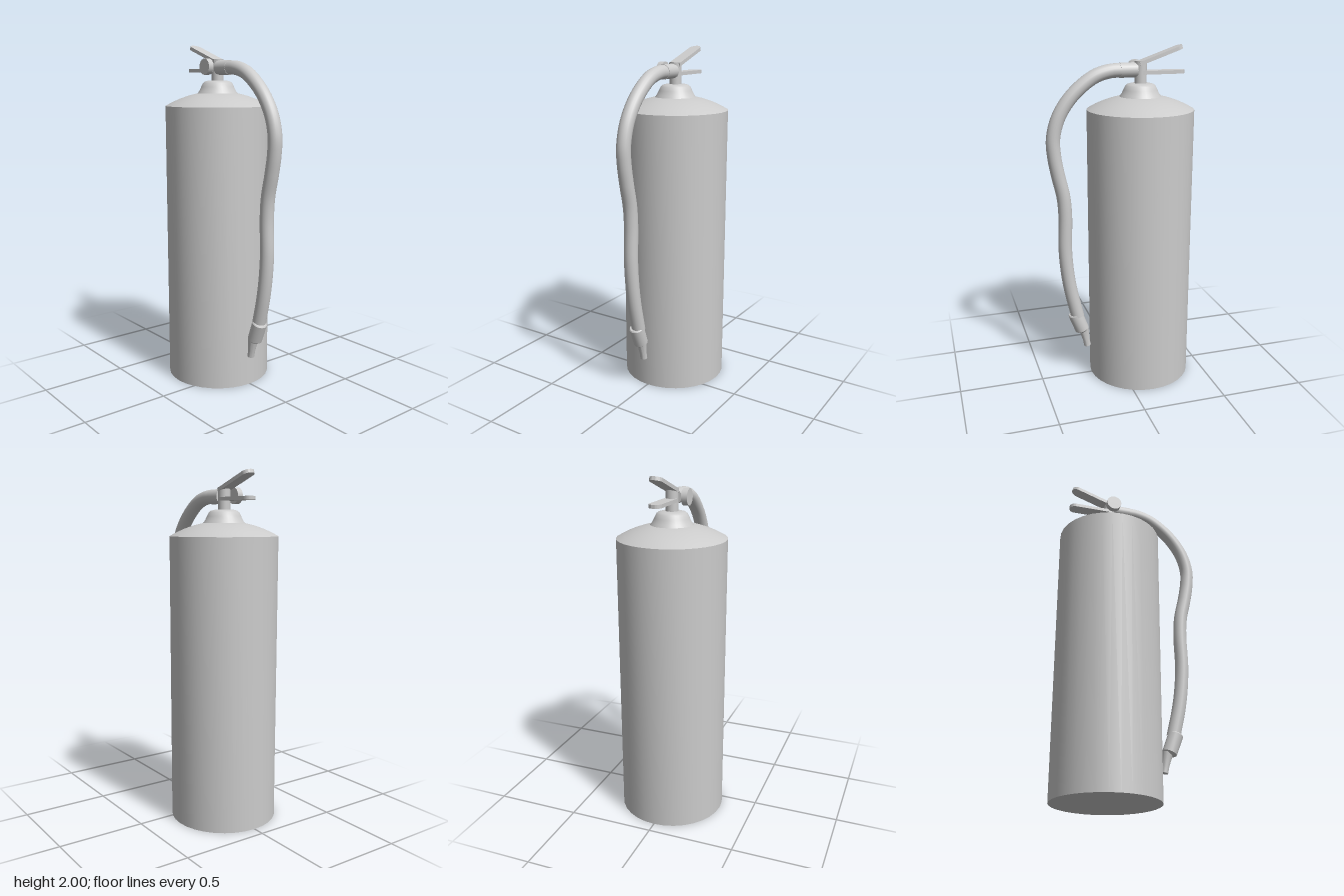
import * as THREE from 'three';
import { toCreasedNormals } from 'three/addons/utils/BufferGeometryUtils.js';

const material = new THREE.MeshStandardMaterial({ color: 0xcccccc });
const AXIS_Z = -0.123; // tank axis
const HOSE_X = -0.005;

function add(parent, name, geometry, x = 0, y = 0, z = 0) {
  const mesh = new THREE.Mesh(geometry, material);
  mesh.name = name;
  mesh.position.set(x, y, z);
  parent.add(mesh);
  return mesh;
}

function lathe(profile, segments = 32, crease = 0.6) {
  const points = profile.map(([r, y]) => new THREE.Vector2(r, y));
  return toCreasedNormals(new THREE.LatheGeometry(points, segments), crease);
}

// Thin flat grip running towards -z from its origin, with a round far end
function gripGeometry(length, halfWidth, thickness) {
  const shape = new THREE.Shape();
  shape.moveTo(-halfWidth, 0);
  shape.lineTo(halfWidth, 0);
  shape.lineTo(halfWidth, length - halfWidth);
  shape.absarc(0, length - halfWidth, halfWidth, 0, Math.PI, false);
  shape.closePath();
  const geometry = new THREE.ExtrudeGeometry(shape, {
    depth: thickness, bevelEnabled: false, curveSegments: 14,
  });
  geometry.translate(0, 0, -thickness / 2);
  geometry.rotateX(-Math.PI / 2);
  return toCreasedNormals(geometry, 0.6);
}

export function createModel() {
  const model = new THREE.Group();
  model.name = 'fireExtinguisher';

  // Tank with sloping shoulder
  add(model, 'tank', lathe([
    [0, 0], [0.308, 0], [0.308, 1.65], [0.27, 1.671], [0.22, 1.693],
    [0.17, 1.71], [0.11, 1.725], [0, 1.73],
  ], 32, 0.4), 0, 0, AXIS_Z);

  // Flared neck
  add(model, 'neck', lathe([
    [0.13, 1.7], [0.122, 1.72], [0.108, 1.736], [0.097, 1.76],
    [0.086, 1.782], [0.075, 1.791], [0.055, 1.796], [0, 1.797],
  ]), 0, 0, AXIS_Z);

  // Valve body
  add(model, 'valveStem', new THREE.CylinderGeometry(0.035, 0.035, 0.14, 24), 0, 1.85, AXIS_Z);

  // Hose coupling
  const coupling = new THREE.CylinderGeometry(0.042, 0.042, 0.1, 24).rotateX(Math.PI / 2);
  add(model, 'hoseCoupling', coupling, HOSE_X, 1.87, -0.05);

  // Pressure gauge
  const gauge = new THREE.CylinderGeometry(0.046, 0.046, 0.034, 24).rotateZ(Math.PI / 2);
  add(model, 'pressureGauge', gauge, -0.084, 1.875, -0.118);

  // Carrying handle and squeeze lever
  add(model, 'carryHandle', gripGeometry(0.262, 0.036, 0.02), 0, 1.855, AXIS_Z);
  const lever = add(model, 'squeezeLever', gripGeometry(0.275, 0.036, 0.02), 0, 1.905, -0.11);
  lever.rotation.x = 0.335;

  // Hose, as [z, y] points
  const path = [
    [-0.01, 1.87], [0.05, 1.868], [0.135, 1.845], [0.22, 1.79], [0.3, 1.71],
    [0.36, 1.61], [0.388, 1.5], [0.384, 1.4], [0.365, 1.29], [0.337, 1.16],
    [0.329, 1.04], [0.334, 0.84], [0.325, 0.7], [0.306, 0.57], [0.268, 0.4],
  ].map(([z, y]) => new THREE.Vector3(HOSE_X, y, z));
  const curve = new THREE.CatmullRomCurve3(path);
  add(model, 'hose', new THREE.TubeGeometry(curve, 70, 0.04, 18, false));

  // Nozzle: wide collar, then a tapering tip
  const collar = new THREE.Group();
  collar.name = 'nozzleCollar';
  collar.position.set(-0.01, 0.355, 0.26);
  collar.rotation.x = 0.36;
  model.add(collar);
  add(collar, 'collarBody', lathe([
    [0, -0.068], [0.03, -0.068], [0.043, -0.055], [0.044, 0.06], [0.039, 0.066], [0, 0.066],
  ], 20));
  const tip = add(model, 'nozzleTip', lathe([
    [0, -0.07], [0.021, -0.07], [0.021, -0.03], [0.031, 0.05], [0, 0.05],
  ], 20), -0.012, 0.255, 0.22);
  tip.rotation.x = 0.19;

  return model;
}
